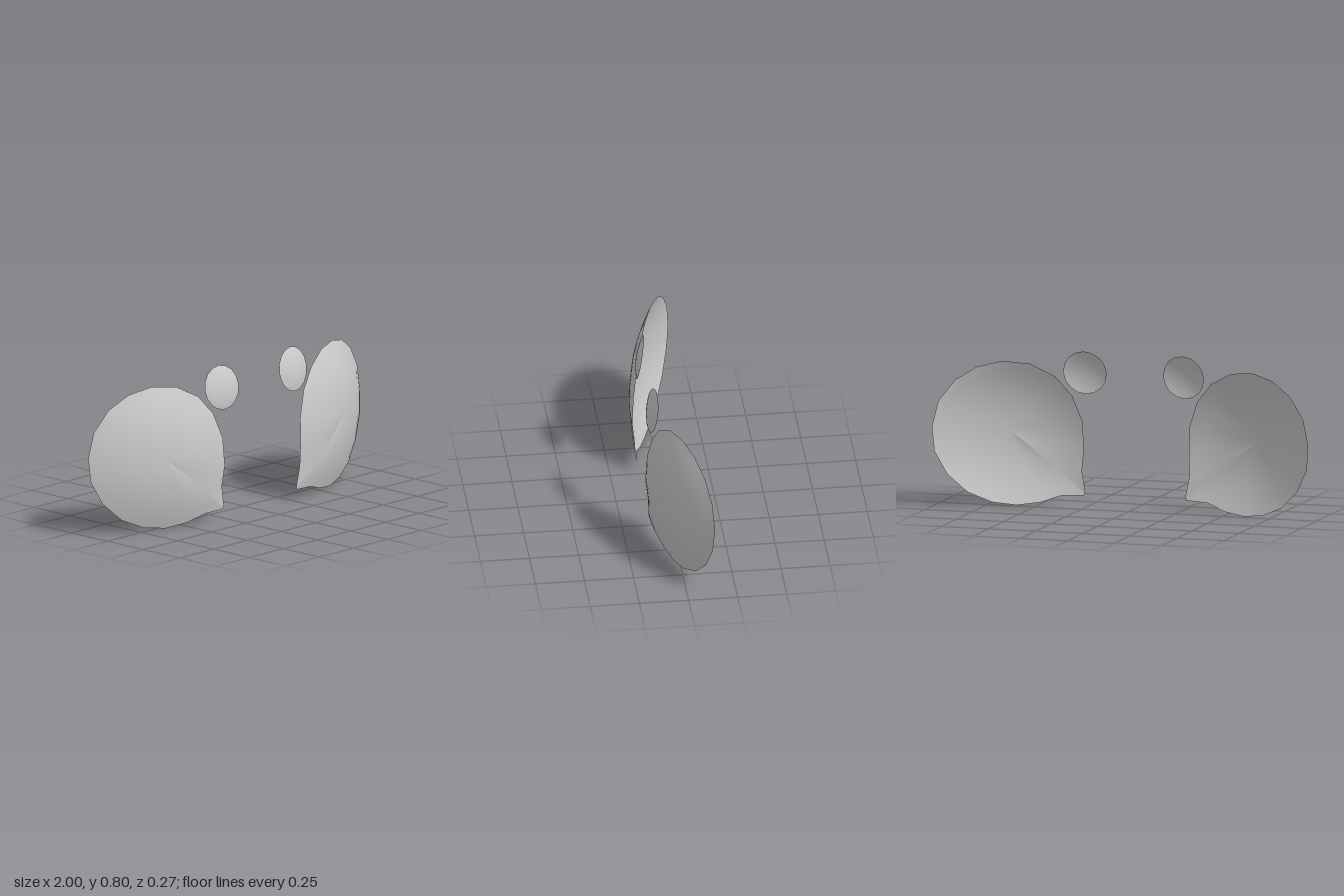
import * as THREE from 'three';

const RINGS = 8;

// Shallow open dish: a rim loop (counter-clockwise from the front) bulging forward around a centre
function dish(name, rim, centre, bulge, side) {
  const n = rim.length, pos = [], index = [];
  const add = (x, y, z) => pos.push(side * x, y, z);
  const tri = (a, b, c) => (side > 0 ? index.push(a, b, c) : index.push(a, c, b));
  add(centre[0], centre[1], centre[2] + bulge);
  for (let k = 1; k <= RINGS; k++) {
    const t = k / RINGS;
    for (const p of rim) {
      const [x, y, z] = p.map((v, i) => centre[i] + (v - centre[i]) * t);
      add(x, y, z + bulge * (1 - t * t));
    }
  }
  for (let i = 0; i < n; i++) {
    const j = (i + 1) % n;
    tri(0, 1 + i, 1 + j);
    for (let k = 0; k < RINGS - 1; k++) {
      const a = 1 + k * n, b = a + n;
      tri(a + i, b + i, b + j);
      tri(a + i, b + j, a + j);
    }
  }
  const geo = new THREE.BufferGeometry();
  geo.setAttribute('position', new THREE.Float32BufferAttribute(pos, 3));
  geo.setIndex(index);
  geo.computeVertexNormals();
  const mesh = new THREE.Mesh(geo, new THREE.MeshStandardMaterial({ color: 0xcccccc, side: THREE.DoubleSide }));
  mesh.name = name;
  return mesh;
}

// Rim of the large eye, with a pointed lower inner corner
const eyeRim = [
  [1, 0.41, -0.135], [0.97, 0.54, -0.125], [0.89, 0.65, -0.096], [0.785, 0.717, -0.056],
  [0.665, 0.745, -0.01], [0.535, 0.73, 0.036], [0.415, 0.665, 0.078], [0.332, 0.565, 0.105],
  [0.285, 0.435, 0.126], [0.278, 0.29, 0.134], [0.286, 0.18, 0.121], [0.266, 0.075, 0.116],
  [0.272, 0.058, 0.112], [0.39, 0.052, 0.1], [0.49, 0.018, 0.066], [0.605, 0.004, 0.03],
  [0.72, 0.02, -0.012], [0.835, 0.072, -0.056], [0.93, 0.165, -0.098], [0.99, 0.285, -0.125],
];

// Rim of the small round brow spot, lying in a tilted plane
const spotCentre = [0.262, 0.688, 0.097];
const spotRim = Array.from({ length: 16 }, (_, i) => {
  const a = (i / 16) * Math.PI * 2;
  const dx = 0.112 * Math.cos(a), dy = 0.112 * Math.sin(a);
  return [spotCentre[0] + dx, spotCentre[1] + dy, spotCentre[2] - 0.1 * dx - 0.18 * dy];
});

export function createModel() {
  const model = new THREE.Group();
  model.name = 'eyes';
  for (const side of [1, -1]) {
    const label = side > 0 ? 'left' : 'right';
    model.add(dish(label + 'Eye', eyeRim, [0.66, 0.38, -0.012], 0.09, side));
    model.add(dish(label + 'BrowSpot', spotRim, spotCentre, 0.018, side));
  }
  return model;
}
